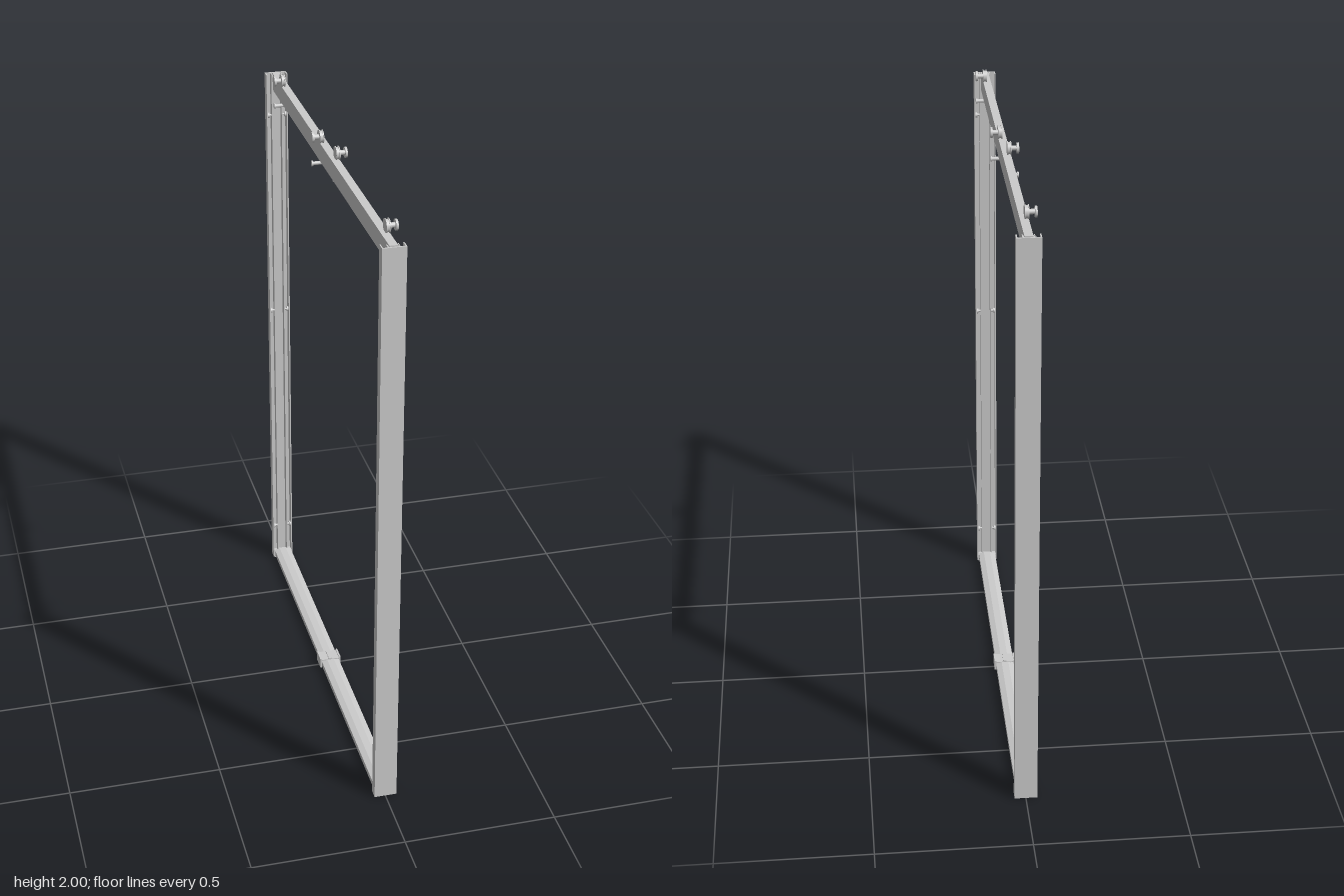
import * as THREE from 'three';

const mat = new THREE.MeshStandardMaterial({ color: 0xcccccc });

export function createModel() {
  const model = new THREE.Group();

  const add = (name, geo, x, y, z, parent = model) => {
    const m = new THREE.Mesh(geo, mat);
    m.name = name;
    m.position.set(x, y, z);
    parent.add(m);
    return m;
  };
  const box = (name, w, h, d, x, y, z, parent) =>
    add(name, new THREE.BoxGeometry(w, h, d), x, y, z, parent);
  // round part along x, from x0 to x1
  const rod = (name, r, x0, x1, y, z, parent, seg = 24) =>
    add(name, new THREE.CylinderGeometry(r, r, Math.abs(x1 - x0), seg).rotateZ(Math.PI / 2),
      (x0 + x1) / 2, y, z, parent);

  // Wall posts: channel section open to the middle, with two inner ribs
  const section = new THREE.Shape([
    [-0.037, 0], [0.037, 0], [0.037, 0.031], [0.033, 0.031], [0.033, 0.005],
    [0.019, 0.005], [0.019, 0.027], [0.016, 0.027], [0.016, 0.005],
    [-0.016, 0.005], [-0.016, 0.027], [-0.019, 0.027], [-0.019, 0.005],
    [-0.033, 0.005], [-0.033, 0.031], [-0.037, 0.031],
  ].map(([x, y]) => new THREE.Vector2(x, y)));
  const postGeo = new THREE.ExtrudeGeometry(section, { depth: 1.955, bevelEnabled: false });
  postGeo.rotateX(-Math.PI / 2); // length up, open side to -z

  for (const s of [1, -1]) {
    const side = new THREE.Group();
    side.name = s > 0 ? 'frontPost' : 'backPost';
    const post = add('postChannel', postGeo, 0, 0.003, s * 0.765, side);
    if (s < 0) post.rotation.y = Math.PI;
    // fixing screws through the channel arms
    for (const y of [0.14, 1.06, 1.81]) {
      for (const t of [1, -1]) {
        rod('screwHead', 0.009, t * 0.033, t * 0.027, y, s * 0.744, side, 16);
        rod('screwShank', 0.004, t * 0.027, t * 0.016, y, s * 0.744, side, 12);
      }
    }
    // end blocks of the bottom rail
    box('endBlock', 0.066, 0.024, 0.026, 0, 0.013, s * 0.745, side);
    model.add(side);
  }

  // Header rail with end brackets
  box('headerRail', 0.026, 0.06, 1.51, 0, 1.93, 0);
  for (const s of [1, -1]) box('headerBracket', 0.034, 0.055, 0.02, 0, 1.928, s * 0.748);

  // Bottom rail: low sill with a slightly raised centre
  const sill = new THREE.Shape([
    [-0.031, 0.01], [0.031, 0.01], [0.031, 0.028], [0.012, 0.034],
    [-0.012, 0.034], [-0.031, 0.028],
  ].map(([x, y]) => new THREE.Vector2(x, y)));
  add('bottomRail',
    new THREE.ExtrudeGeometry(sill, { depth: 1.48, bevelEnabled: false }), 0, 0, -0.74);

  // Door guide clipped over the sill
  const guide = new THREE.Group();
  guide.name = 'doorGuide';
  box('guidePlate', 0.07, 0.004, 0.05, 0, 0.034, 0, guide);
  for (const t of [1, -1]) box('guideCheek', 0.006, 0.036, 0.05, t * 0.034, 0.022, 0, guide);
  box('guideFin', 0.012, 0.006, 0.05, 0, 0.037, 0, guide);
  model.add(guide);

  // Rollers on the header, each with a safety pin below it
  for (const [t, z] of [[1, 0.655], [1, 0.075], [-1, -0.075], [-1, -0.615]]) {
    const g = new THREE.Group();
    g.name = 'roller';
    const y = 1.978;
    rod('wheelInnerFlange', 0.022, t * 0.001, t * 0.004, y, z, g, 32);
    rod('wheelTread', 0.019, t * 0.004, t * 0.011, y, z, g, 32);
    rod('wheelOuterFlange', 0.022, t * 0.011, t * 0.014, y, z, g, 32);
    rod('axle', 0.008, t * 0.014, t * 0.031, y, z, g);
    rod('axleCap', 0.017, t * 0.031, t * 0.038, y, z, g, 32);
    rod('safetyPin', 0.006, -t * 0.006, t * 0.033, 1.89, z, g, 16);
    rod('safetyPinHead', 0.009, t * 0.033, t * 0.038, 1.89, z, g, 16);
    model.add(g);
  }
  return model;
}
